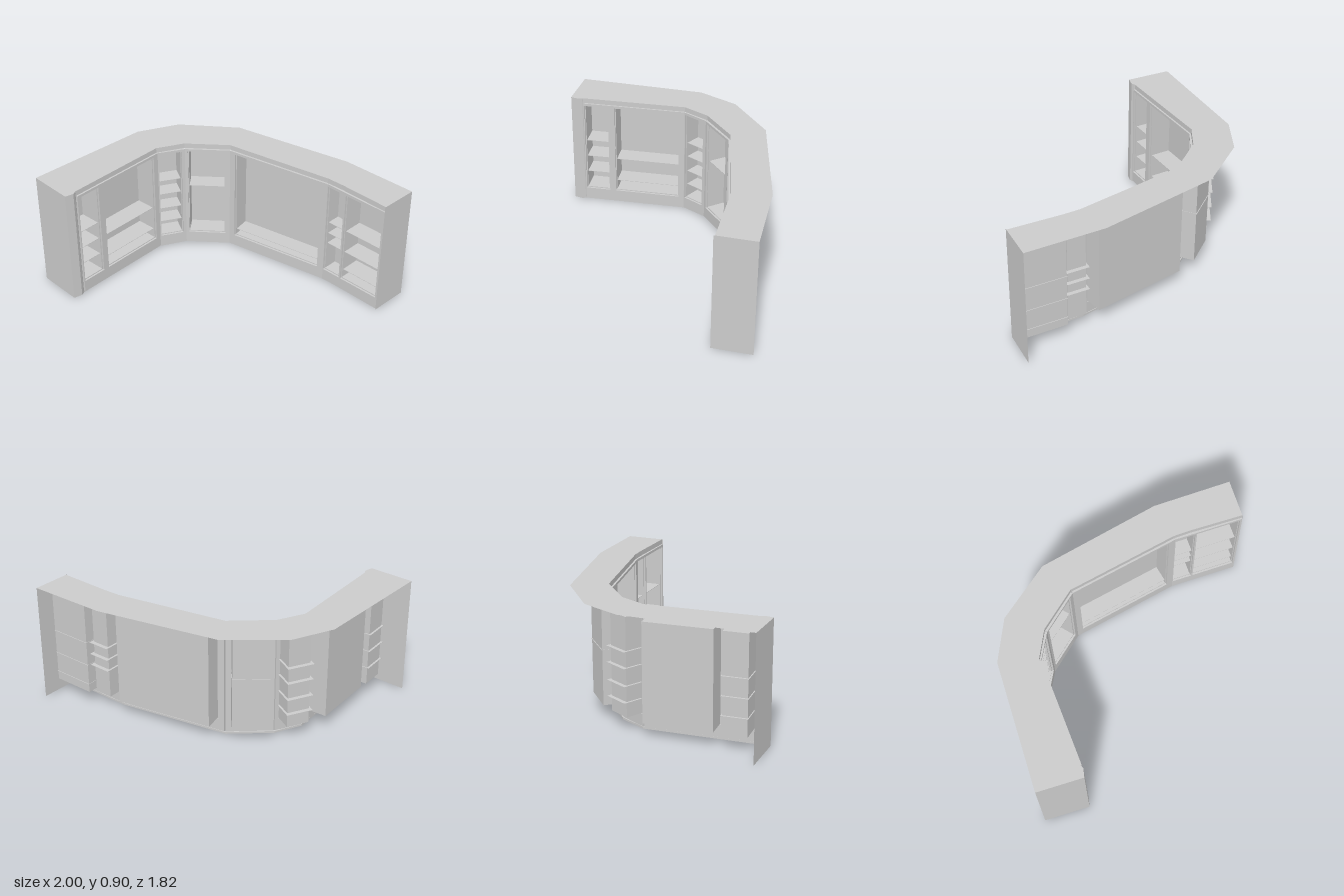
import * as THREE from 'three';

const mat = new THREE.MeshStandardMaterial({ color: 0xcccccc, side: THREE.DoubleSide });
const H = 0.905, BASE = 0.015, RAIL = 0.865, LOW = 0.105, HIGH = 0.845, FRAME = 0.02;

function add(parent, geometry, name, x = 0, y = 0, z = 0) {
  const mesh = new THREE.Mesh(geometry, mat);
  mesh.name = name;
  mesh.position.set(x, y, z);
  parent.add(mesh);
  return mesh;
}

// Floor-plan outline of [x, z] points, raised from y0 to y1
function slab(parent, plan, y0, y1, name) {
  const shape = new THREE.Shape(plan.map(([x, z]) => new THREE.Vector2(x, -z)));
  const geo = y1 > y0
    ? new THREE.ExtrudeGeometry(shape, { depth: y1 - y0, bevelEnabled: false })
    : new THREE.ShapeGeometry(shape);
  geo.rotateX(-Math.PI / 2);
  return add(parent, geo, name, 0, y0, 0);
}

function rect(Type, x0, y0, x1, y1) {
  const s = new Type();
  s.moveTo(x0, y0).lineTo(x1, y0).lineTo(x1, y1).lineTo(x0, y1).closePath();
  return s;
}

// Thin-walled niche behind an opening: four walls, a back and a narrow lip
function niche(parent, u0, u1, depth) {
  const g = new THREE.Group();
  g.name = 'niche';
  const r = 0.007, x0 = u0 + r, x1 = u1 - r, y0 = LOW + r, y1 = HIGH - r;
  const w = x1 - x0, h = y1 - y0, cx = (x0 + x1) / 2, cy = (y0 + y1) / 2, d = depth - 0.015;
  const zc = -0.015 - d / 2;
  for (const x of [x0, x1]) add(g, new THREE.PlaneGeometry(d, h), 'nicheSide', x, cy, zc).rotation.y = Math.PI / 2;
  for (const y of [y0, y1]) add(g, new THREE.PlaneGeometry(w, d), 'nicheFloor', cx, y, zc).rotation.x = -Math.PI / 2;
  add(g, new THREE.PlaneGeometry(w, h), 'nicheBack', cx, cy, -depth);
  const lip = rect(THREE.Shape, u0, LOW, u1, HIGH);
  lip.holes.push(rect(THREE.Path, x0, y0, x1, y1));
  add(g, new THREE.ShapeGeometry(lip), 'nicheLip', 0, 0, -0.015);
  parent.add(g);
}

// Plan lines from the left-hand end to the right-hand end: face frames, then the recessed fascia
const front = [[-0.648, 0.805], [-0.702, 0], [-0.605, -0.19], [-0.35, -0.42], [0.48, -0.6], [1, -0.612]];
const recess = [[-0.66, 0.82], [-0.715, 0], [-0.62, -0.2], [-0.36, -0.433], [0.47, -0.613], [0.6, -0.62], [1, -0.622]];
const outer = [[1, -0.91], [0.41, -0.887], [-0.5, -0.67], [-0.865, -0.365], [-1, -0.06], [-1, 0.905]];

// Openings per wall: start, end, niche depth, shelf heights, shelf overrun past the niche
const walls = [
  [[0.008, 0.2, 0.19, [0.53, 0.39, 0.25], 0.015], [0.25, 0.765, 0.18, [0.385, 0.19], 0]],
  [[0.006, 0.188, 0.15, [0.595, 0.475, 0.345, 0.225], 0.03]],
  [[0.022, 0.31, 0.16, [0.525], 0.005]],
  [[0.046, 0.798, 0.15, [0.155], 0]],
  [[0.004, 0.157, 0.13, [0.525, 0.43, 0.34], 0.03], [0.17, 0.505, 0.18, [0.525, 0.34, 0.18], 0.005]],
];

export function createModel() {
  const model = new THREE.Group();
  model.name = 'cornerShelving';

  // Face frames, niches and shelves, wall by wall
  walls.forEach((openings, i) => {
    const [ax, az] = front[i], [bx, bz] = front[i + 1];
    const len = Math.hypot(bx - ax, bz - az);
    const wall = new THREE.Group();
    wall.name = 'wallSection';
    wall.position.set(ax, 0, az);
    wall.rotation.y = Math.atan2(az - bz, bx - ax);
    model.add(wall);

    const face = rect(THREE.Shape, 0, BASE, len, RAIL);
    for (const [u0, u1] of openings) face.holes.push(rect(THREE.Path, u0, LOW, u1, HIGH));
    add(wall, new THREE.ExtrudeGeometry(face, { depth: FRAME, bevelEnabled: false }), 'faceFrame', 0, 0, -FRAME);

    for (const [u0, u1, depth, shelves, overrun] of openings) {
      niche(wall, u0, u1, depth);
      const d = depth + overrun - 0.025;
      const w = u1 - u0 - 0.014 + overrun;
      for (const y of shelves) {
        add(wall, new THREE.BoxGeometry(w, 0.003, d), 'shelf', (u0 + u1) / 2, y, -0.025 - d / 2);
      }
    }
  });

  // Fascia above and toe strip below, set back behind the face frames
  const back = recess.map(([x, z], i) => [i === recess.length - 1 ? x : x - 0.008, z - 0.008]);
  const strip = [...recess, ...back.reverse()];
  slab(model, strip, RAIL, H - 0.001, 'fascia');
  slab(model, strip, 0, BASE, 'toeStrip');

  // Post closing the left-hand end
  slab(model, [[-0.672, 0.8], [-0.657, 0.815], [-0.645, 0.84], [-0.657, 0.905], [-0.68, 0.905]], 0, H - 0.001, 'endPost');

  // Top panel
  slab(model, [[-0.657, 0.905], [-0.645, 0.84], ...recess, ...outer], H, H, 'topPanel');

  // End panels
  add(model, new THREE.PlaneGeometry(0.343, H), 'endPanel', -0.8285, H / 2, 0.905);
  add(model, new THREE.PlaneGeometry(0.298, H), 'endPanel', 1, H / 2, -0.761).rotation.y = Math.PI / 2;

  return model;
}
